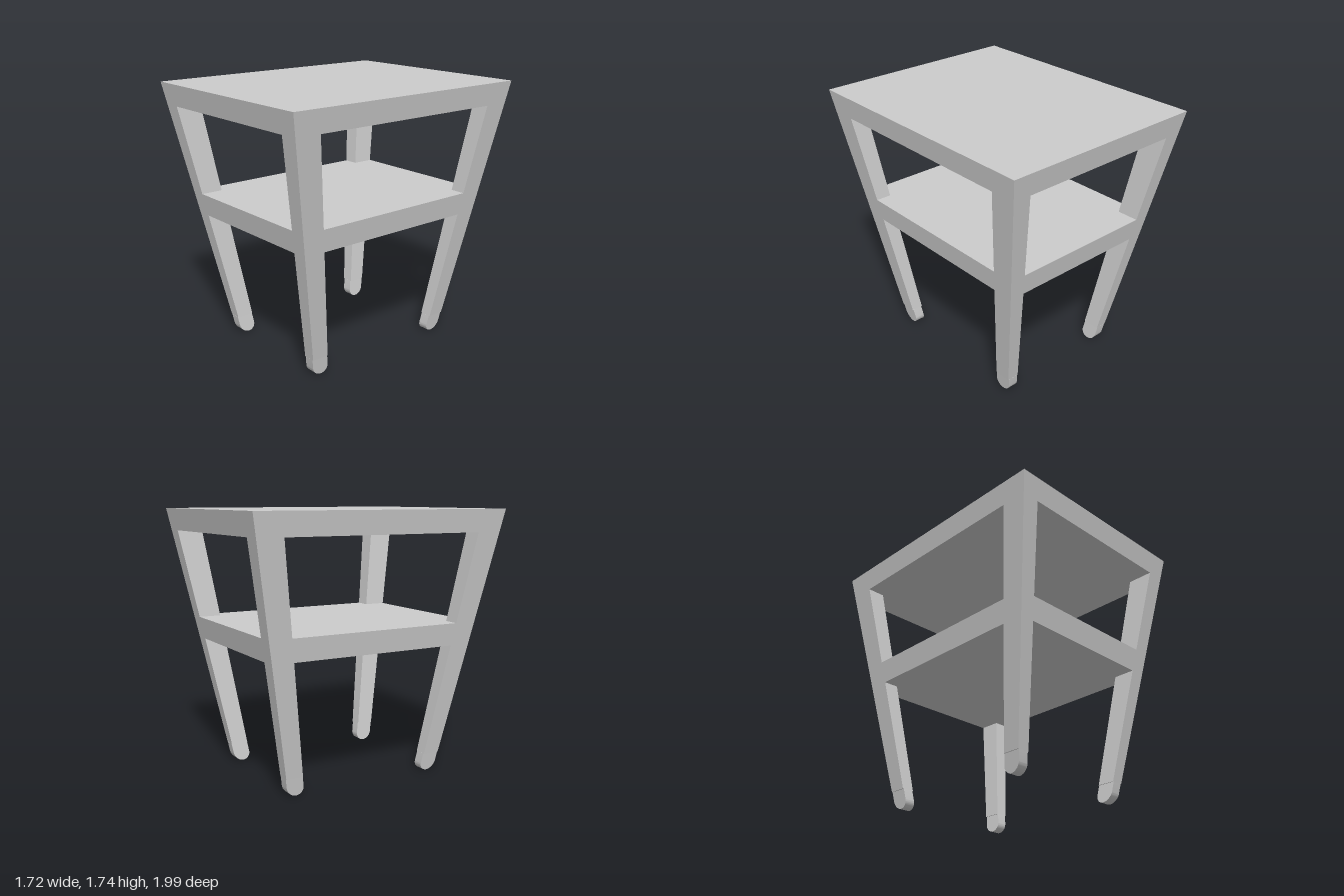
import * as THREE from 'three';
import { toCreasedNormals } from 'three/addons/utils/BufferGeometryUtils.js';

const TOP = 1.735, LEG_END = 0.12;       // heights of table top and leg ends
const HX = 0.7025, HZ = 0.8765;          // half size of the top
const LEG_X = 0.123, LEG_Z = 0.176;      // leg section, measured at full scale

// The whole table narrows towards the floor
const taper = (y) => 0.65 + 0.35 * (y - LEG_END) / (TOP - LEG_END);

const material = new THREE.MeshStandardMaterial({ color: 0xcccccc });

function moveVertices(geometry, rule) {
  const p = geometry.attributes.position;
  for (let i = 0; i < p.count; i++) {
    p.setXYZ(i, ...rule(p.getX(i), p.getY(i), p.getZ(i)));
  }
  return geometry;
}

// Block with full-scale width, depth and centre, narrowed by the taper
function taperedBlock(name, w, d, y0, y1, cx = 0, cz = 0) {
  const g = new THREE.BoxGeometry(w, y1 - y0, d).translate(cx, (y0 + y1) / 2, cz);
  moveVertices(g, (x, y, z) => [x * taper(y), y, z * taper(y)]);
  g.computeVertexNormals();
  const mesh = new THREE.Mesh(g, material);
  mesh.name = name;
  return mesh;
}

// Thin foot with a half-round bottom, leaning along its leg
function foot(cx, cz) {
  const r = 0.058, t = 0.068;
  const s = new THREE.Shape();
  s.moveTo(r, LEG_END);
  s.lineTo(-r, LEG_END);
  s.lineTo(-r, r);
  s.absarc(0, r, r, Math.PI, Math.PI * 2, false);
  s.closePath();
  let g = new THREE.ExtrudeGeometry(s, { depth: t, bevelEnabled: false, curveSegments: 20 });
  g.translate(0, 0, -t / 2).rotateY(Math.PI / 2);
  moveVertices(g, (x, y, z) => [x + cx * taper(y), y, z + cz * taper(y)]);
  g = toCreasedNormals(g, 0.6);
  const mesh = new THREE.Mesh(g, material);
  mesh.name = 'foot';
  return mesh;
}

export function createModel() {
  const table = new THREE.Group();
  table.name = 'sideTable';

  table.add(taperedBlock('tableTop', HX * 2, HZ * 2, 1.59, TOP));
  table.add(taperedBlock('lowerShelf', HX * 2, HZ * 2, 0.862, 1.01));

  // Four legs flush with the outer corners
  for (const sx of [-1, 1]) {
    for (const sz of [-1, 1]) {
      const cx = sx * (HX - LEG_X / 2), cz = sz * (HZ - LEG_Z / 2);
      const leg = new THREE.Group();
      leg.name = (sz > 0 ? 'front' : 'back') + (sx > 0 ? 'Left' : 'Right') + 'Leg';
      leg.add(taperedBlock('upperLeg', LEG_X, LEG_Z, 1.01, 1.59, cx, cz));
      leg.add(taperedBlock('lowerLeg', LEG_X, LEG_Z, LEG_END, 0.862, cx, cz));
      leg.add(foot(cx, cz));
      table.add(leg);
    }
  }

  // The table stands turned slightly about the vertical
  table.rotation.y = THREE.MathUtils.degToRad(-11.3);
  const model = new THREE.Group();
  model.name = 'model';
  model.add(table);
  return model;
}
